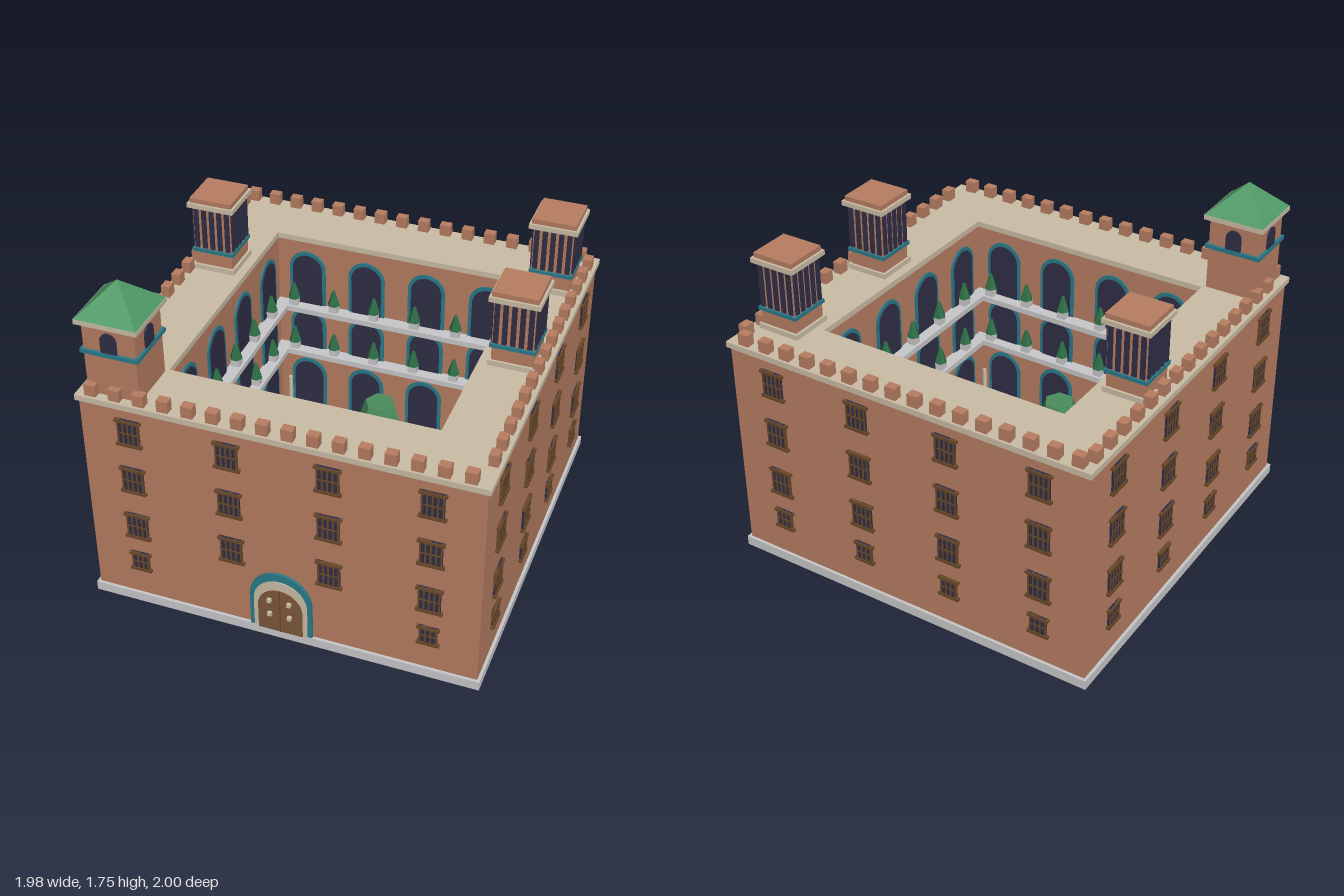
import * as THREE from 'three';

const mat = (name, color) => {
  const m = new THREE.MeshStandardMaterial({ color });
  m.name = name;
  return m;
};

export function createModel() {
  const M = {
    brick: mat('terracotta', 0xb67d61),
    stone: mat('beige stone', 0xcbbda6),
    grey: mat('pale grey stone', 0xc8c8ca),
    teal: mat('teal tile', 0x2a7a8a),
    dark: mat('dark opening', 0x302e46),
    door: mat('door wood', 0x7d5638),
    wood: mat('window wood', 0x6b4829),
    lawn: mat('lawn green', 0x4a8c5c),
    roof: mat('roof green', 0x4f9966),
    shrub: mat('shrub green', 0x2c6e46),
  };
  const model = new THREE.Group();
  model.name = 'palace';
  const building = new THREE.Group();
  building.name = 'building';
  building.position.z = -0.012;
  model.add(building);

  const group = (name, parent, x = 0, y = 0, z = 0, ry = 0) => {
    const g = new THREE.Group();
    g.name = name;
    g.position.set(x, y, z);
    g.rotation.y = ry;
    parent.add(g);
    return g;
  };
  const add = (name, geo, m, parent, x, y, z) => {
    const mesh = new THREE.Mesh(geo, m);
    mesh.name = name;
    mesh.position.set(x, y, z);
    parent.add(mesh);
    return mesh;
  };
  // box and faceted cylinder standing on y
  const box = (name, m, parent, w, h, d, x, y, z) =>
    add(name, new THREE.BoxGeometry(w, h, d), m, parent, x, y + h / 2, z);
  const prism = (name, m, parent, rTop, rBot, h, sides, x, y, z, turn = 0) => {
    const geo = new THREE.CylinderGeometry(rTop, rBot, h, sides).rotateY(turn).toNonIndexed();
    geo.computeVertexNormals();
    return add(name, geo, m, parent, x, y + h / 2, z);
  };
  // square slab with a square hole
  const ring = (name, m, outer, inner, y, h) => {
    const sq = (P, a) => new P([[-a, -a], [a, -a], [a, a], [-a, a]].map(p => new THREE.Vector2(...p)));
    const s = sq(THREE.Shape, outer);
    s.holes.push(sq(THREE.Path, inner));
    const geo = new THREE.ExtrudeGeometry(s, { depth: h, bevelEnabled: false }).rotateX(-Math.PI / 2);
    return add(name, geo, m, building, 0, y, 0);
  };
  // round-headed plate facing +z
  const arch = (name, m, parent, r, h, t, x, y, z) => {
    const s = new THREE.Shape();
    s.moveTo(-r, 0).lineTo(r, 0).lineTo(r, h - r);
    s.absarc(0, h - r, r, 0, Math.PI, false);
    s.closePath();
    const geo = new THREE.ExtrudeGeometry(s, { depth: t, bevelEnabled: false, curveSegments: 8 });
    return add(name, geo, m, parent, x, y, z);
  };

  // shell
  box('plinth', M.grey, building, 1.97, 0.05, 1.97, 0, 0, 0);
  ring('walls', M.brick, 0.97, 0.66, 0.05, 1.12);
  ring('roofTerrace', M.stone, 0.985, 0.66, 1.17, 0.03);
  box('lawn', M.lawn, building, 1.32, 0.006, 1.32, 0, 0.05, 0);

  // barred windows
  const windowAt = (parent, x, y, w, h, bars) => {
    const g = group('window', parent, x, y, 0.97);
    box('pane', M.dark, g, w, h, 0.016, 0, -h / 2, 0.004);
    box('lintel', M.wood, g, w + 0.022, 0.015, 0.036, 0, h / 2 - 0.015, 0);
    box('sill', M.wood, g, w + 0.022, 0.015, 0.036, 0, -h / 2, 0);
    box('crossBar', M.wood, g, w, 0.007, 0.03, 0, -0.003, 0);
    for (let i = 0; i < bars; i++) {
      box('bar', M.wood, g, 0.008, h, 0.03, (i / (bars - 1) - 0.5) * (w - 0.008), -h / 2, 0);
    }
  };
  for (let k = 0; k < 4; k++) {
    const side = group('facade', building, 0, 0, 0, k * Math.PI / 2);
    for (const x of [-0.728, -0.243, 0.243, 0.728]) {
      for (const y of [0.48, 0.76, 1.038]) windowAt(side, x, y, 0.108, 0.148, 5);
      if (k !== 0 || Math.abs(x) > 0.5) windowAt(side, x, 0.258, 0.088, 0.11, 4);
    }
    // courtyard arches
    for (const x of [-0.495, -0.165, 0.165, 0.495]) {
      for (const [y, h] of [[0.055, 0.38], [0.52, 0.245], [0.8, 0.315]]) {
        arch('archFrame', M.teal, side, 0.1, h, 0.008, x, y, -0.66);
        arch('archOpening', M.dark, side, 0.082, h - 0.02, 0.012, x, y, -0.66);
      }
    }
  }

  // entrance
  const door = group('entrance', building, 0, 0.05, 0.97);
  arch('doorSurround', M.teal, door, 0.157, 0.352, 0.014, 0, 0, 0);
  arch('doorFrame', M.stone, door, 0.135, 0.31, 0.019, 0, 0, 0);
  arch('doorLeaf', M.door, door, 0.112, 0.258, 0.024, 0, 0, 0);
  box('doorSeam', M.wood, door, 0.005, 0.255, 0.004, 0, 0, 0.024);
  for (const x of [-0.05, 0.05]) for (const y of [0.1, 0.185]) {
    box('doorStud', M.stone, door, 0.02, 0.02, 0.02, x, y, 0.031);
  }

  // merlons
  for (let i = 0; i < 16; i++) for (const s of [-1, 1]) {
    box('merlon', M.brick, building, 0.056, 0.06, 0.045, -0.91 + i * 0.12, 1.2, s * 0.95);
    if (i < 15) box('merlon', M.brick, building, 0.045, 0.06, 0.056, s * 0.945, 1.2, -0.88 + i * 0.12);
  }

  // corner tower
  const tower = group('tower', building, -0.805, 1.2, 0.807);
  box('towerBody', M.brick, tower, 0.26, 0.38, 0.26, 0, 0, 0);
  box('towerBand', M.teal, tower, 0.288, 0.02, 0.288, 0, 0.22, 0);
  box('towerEaves', M.stone, tower, 0.31, 0.024, 0.31, 0, 0.376, 0);
  prism('towerRoof', M.roof, tower, 0, 0.153 * Math.SQRT2, 0.15, 4, 0, 0.4, 0, Math.PI / 4);
  for (let k = 0; k < 4; k++) {
    const g = group('towerFace', tower, 0, 0, 0, k * Math.PI / 2);
    arch('towerWindow', M.dark, g, 0.04, 0.105, 0.009, 0, 0.24, 0.13);
  }

  // square lanterns on the terrace
  for (const [x, z] of [[0.82, -0.69], [0.82, 0], [-0.82, -0.303]]) {
    const g = group('lantern', building, x, 1.2, z);
    box('lanternFoot', M.stone, g, 0.226, 0.027, 0.226, 0, 0, 0);
    box('lanternBody', M.brick, g, 0.2, 0.335, 0.2, 0, 0.025, 0);
    box('lanternBand', M.teal, g, 0.22, 0.018, 0.22, 0, 0.1, 0);
    box('lanternCornice', M.stone, g, 0.244, 0.025, 0.244, 0, 0.353, 0);
    box('lanternCap', M.brick, g, 0.22, 0.025, 0.22, 0, 0.378, 0);
    for (let k = 0; k < 4; k++) {
      const face = group('lanternFace', g, 0, 0, 0, k * Math.PI / 2);
      for (let i = -2; i <= 2; i++) {
        box('lanternSlit', M.dark, face, 0.024, 0.215, 0.009, i * 0.041, 0.125, 0.104);
      }
    }
  }

  // galleries with potted shrubs
  const potted = (x, y, z) => {
    const g = group('planter', building, x, y, z);
    box('pot', M.grey, g, 0.046, 0.04, 0.046, 0, 0, 0);
    prism('shrub', M.shrub, g, 0.008, 0.034, 0.085, 6, 0, 0.04, 0, Math.PI / 6);
  };
  for (const y of [0.52, 0.8]) {
    ring('galleryDeck', M.grey, 0.66, 0.59, y - 0.03, 0.03);
    for (const s of [-1, 1]) {
      for (let i = 0; i < 6; i++) potted((i - 2.5) * 0.225, y, s * 0.628);
      for (let i = 0; i < 5; i++) potted(s * 0.628, y, (i - 2) * 0.234);
    }
  }

  // courtyard trees
  for (const [x, z] of [[0.417, 0], [-0.417, 0], [0, 0.417], [0, -0.417]]) {
    const g = group('tree', building, x, 0.05, z);
    prism('trunk', M.door, g, 0.022, 0.028, 0.15, 6, 0, 0, 0);
    prism('crown', M.lawn, g, 0.08, 0.155, 0.24, 6, 0, 0.14, 0, Math.PI / 6);
  }

  // fountain
  const fountain = group('fountain', building, 0, 0.05, 0);
  prism('basin', M.grey, fountain, 0.097, 0.097, 0.06, 8, 0, 0, 0, Math.PI / 8);
  prism('water', M.teal, fountain, 0.082, 0.082, 0.006, 8, 0, 0.057, 0, Math.PI / 8);
  prism('stem', M.grey, fountain, 0.018, 0.024, 0.1, 8, 0, 0.06, 0);
  prism('bowl', M.grey, fountain, 0.055, 0.022, 0.035, 8, 0, 0.13, 0, Math.PI / 8);
  prism('spout', M.grey, fountain, 0.008, 0.014, 0.045, 8, 0, 0.16, 0);

  // corner palms and lamp posts
  for (const s of [-1, 1]) {
    const palm = group('palm', building, s * 0.558, 0.05, -s * 0.558, s > 0 ? 0 : Math.PI);
    prism('palmTrunk', M.brick, palm, 0.014, 0.02, 0.3, 6, 0, 0, 0);
    for (const a of [Math.PI, -Math.PI * 2 / 3]) {
      const frond = group('frondArm', palm, 0, 0.29, 0, a);
      const leaf = box('frond', M.lawn, frond, 0.175, 0.008, 0.03, 0.1, -0.02, 0);
      leaf.rotation.z = -0.3;
    }
    prism('lampPost', M.stone, building, 0.011, 0.014, 0.3, 6, s * 0.574, 0.05, s * 0.574);
  }
  return model;
}
